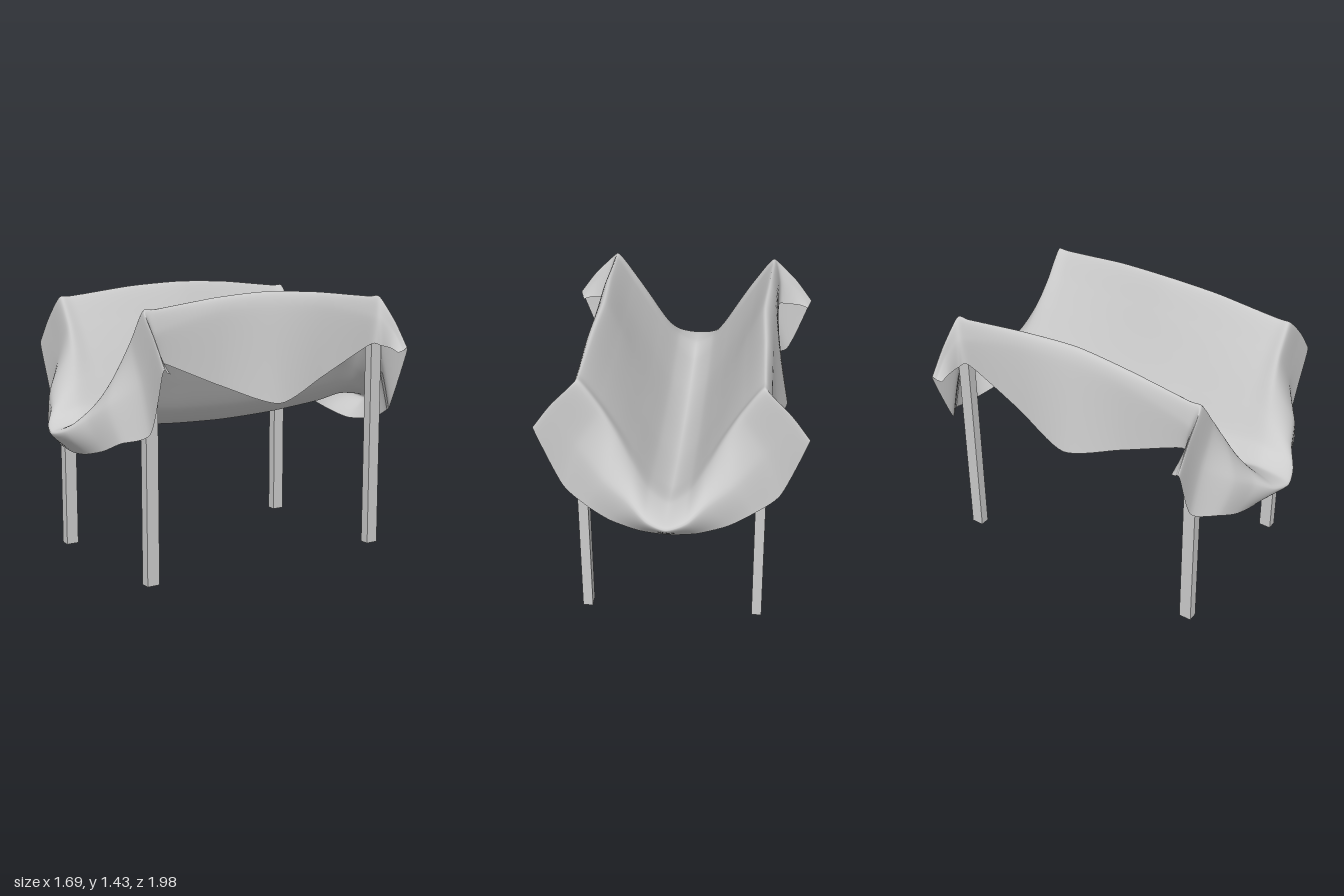
import * as THREE from 'three';

// One quarter of the cloth as rows of [across, height, along] points,
// from the middle of the cloth (row 0) out to the end hem (row 5).
// Each row runs from the trough up to the ridge (sixth point), then down to
// the side hem. The ridge runs on past the corner as the fold of the ear.
const QUARTER = [
  [[0, .70, 0], [.10, .785, 0], [.19, .95, 0], [.265, 1.11, 0], [.335, 1.27, 0], [.415, 1.43, 0], [.47, 1.35, 0], [.56, .87, 0]],
  [[0, .71, .32], [.10, .79, .32], [.19, .95, .32], [.265, 1.10, .32], [.34, 1.25, .32], [.43, 1.415, .32], [.475, 1.34, .32], [.507, .98, .32]],
  [[0, .74, .66], [.10, .82, .65], [.19, .97, .65], [.265, 1.10, .65], [.35, 1.24, .65], [.447, 1.38, .66], [.482, 1.28, .65], [.487, 1.12, .65]],
  [[0, .77, .84], [.10, .83, .82], [.18, .95, .79], [.26, 1.09, .765], [.345, 1.225, .745], [.455, 1.373, .738], [.50, 1.26, .71], [.525, 1.115, .695]],
  [[0, .735, 1.02], [.10, .76, .99], [.20, .83, .92], [.32, .91, .865], [.46, 1.03, .76], [.575, 1.24, .75], [.59, 1.19, .73], [.60, 1.11, .70]],
  [[0, .62, .90], [.14, .635, .90], [.29, .675, .88], [.41, .73, .845], [.545, .79, .755], [.668, 1.1, .757], [.665, 1.1, .73], [.655, 1.09, .705]],
];

const FRAME_ANGLE = -Math.PI / 12;
// Low tension keeps the folds and hems fairly taut
const curve = (points) => new THREE.CatmullRomCurve3(points, false, 'catmullrom', 0.36);

// Mirrors the quarter both ways and lofts a smooth sheet through it
function clothGeometry(across = 112, along = 80) {
  const columns = [];
  for (let i = -7; i <= 7; i++) {
    const points = [];
    for (let j = -5; j <= 5; j++) {
      const [u, y, v] = QUARTER[Math.abs(j)][Math.abs(i)];
      points.push(new THREE.Vector3(Math.sign(i) * u, y, Math.sign(j) * v));
    }
    columns.push(curve(points));
  }

  const position = [];
  const index = [];
  for (let b = 0; b <= along; b++) {
    const section = curve(columns.map((c) => c.getPoint(b / along)));
    for (let a = 0; a <= across; a++) {
      position.push(...section.getPoint(a / across).toArray());
      if (a === across || b === along) continue;
      const k = b * (across + 1) + a;
      const n = k + across + 1;
      index.push(k, n, k + 1, k + 1, n, n + 1);
    }
  }
  const geometry = new THREE.BufferGeometry();
  geometry.setAttribute('position', new THREE.Float32BufferAttribute(position, 3));
  geometry.setIndex(index);
  geometry.computeVertexNormals();
  return geometry;
}

export function createModel() {
  const model = new THREE.Group();
  model.name = 'drapedFrame';

  // The whole frame stands slightly turned
  const frame = new THREE.Group();
  frame.name = 'frame';
  frame.rotation.y = FRAME_ANGLE;
  model.add(frame);

  // Sagging cloth with hanging flaps and corner ears
  const cloth = new THREE.Mesh(
    clothGeometry(),
    new THREE.MeshStandardMaterial({ color: 0xcccccc, side: THREE.DoubleSide }),
  );
  cloth.name = 'drapedCloth';
  frame.add(cloth);

  // Four straight posts under the corners
  const legHeight = 1.32;
  const legGeometry = new THREE.BoxGeometry(0.052, legHeight, 0.068);
  const legMaterial = new THREE.MeshStandardMaterial({ color: 0xcccccc });
  for (const [sx, side] of [[1, 'Left'], [-1, 'Right']]) {
    for (const [sz, end] of [[1, 'front'], [-1, 'back']]) {
      const leg = new THREE.Mesh(legGeometry, legMaterial);
      leg.name = `${end}${side}Leg`;
      leg.position.set(sx * 0.448, legHeight / 2, sz * 0.706);
      frame.add(leg);
    }
  }
  return model;
}
